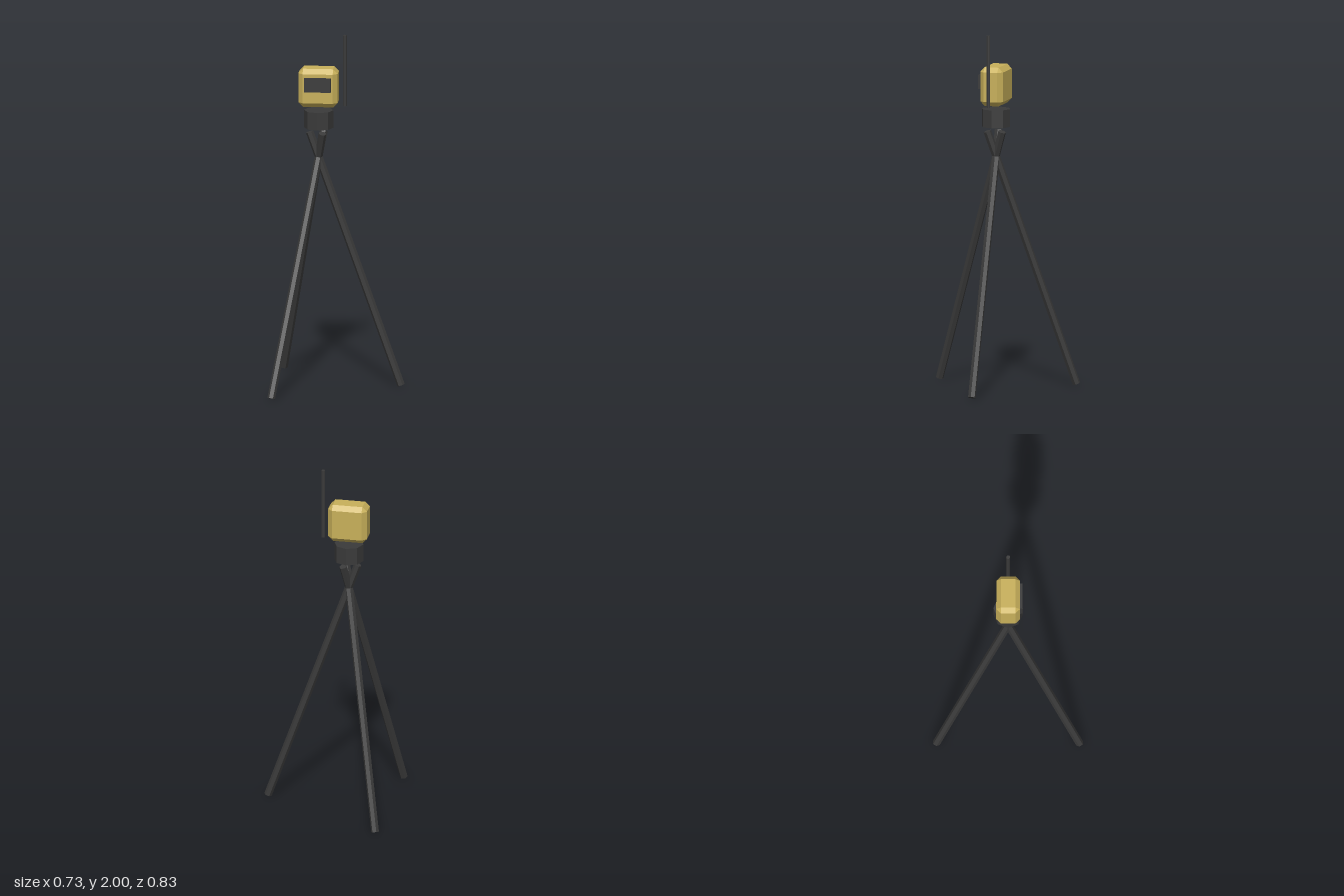
import * as THREE from 'three';
import { ConvexGeometry } from 'three/addons/geometries/ConvexGeometry.js';

const AXIS_X = -0.116; // tripod axis

// Box with flat chamfers on every edge and triangular corners
function chamferBox(w, h, d, c) {
  const points = [];
  for (const sx of [-1, 1]) for (const sy of [-1, 1]) for (const sz of [-1, 1]) {
    const x = w / 2, y = h / 2, z = d / 2;
    points.push(
      new THREE.Vector3(sx * x, sy * (y - c), sz * (z - c)),
      new THREE.Vector3(sx * (x - c), sy * y, sz * (z - c)),
      new THREE.Vector3(sx * (x - c), sy * (y - c), sz * z)
    );
  }
  return new ConvexGeometry(points);
}

export function createModel() {
  const group = new THREE.Group();
  const dark = new THREE.MeshStandardMaterial({ color: 0x3a3a3a, flatShading: true });
  dark.name = 'dark grey';
  const yellow = new THREE.MeshStandardMaterial({ color: 0xc8b05a, flatShading: true });
  yellow.name = 'sand yellow';

  const add = (name, geometry, material, x, y, z, parent = group) => {
    const mesh = new THREE.Mesh(geometry, material);
    mesh.name = name;
    mesh.position.set(x, y, z);
    parent.add(mesh);
    return mesh;
  };

  // Three hexagonal legs crossing just below the head
  const footR = 0.46, topR = -0.05, footY = 0.008, topY = 1.445;
  const run = footR - topR, rise = topY - footY;
  const legGeometry = new THREE.CylinderGeometry(0.022, 0.022, Math.hypot(run, rise), 6);
  legGeometry.rotateY(Math.PI / 2); // one ridge faces outward
  for (let i = 0; i < 3; i++) {
    const pivot = new THREE.Group();
    pivot.name = 'legPivot' + (i + 1);
    pivot.position.x = AXIS_X;
    pivot.rotation.y = (i * Math.PI * 2) / 3;
    const leg = add('leg' + (i + 1), legGeometry, dark, (footR + topR) / 2, (footY + topY) / 2, 0, pivot);
    leg.rotation.z = Math.atan2(run, rise);
    group.add(pivot);
  }

  // Tripod head
  add('tripodHead', new THREE.CylinderGeometry(0.082, 0.082, 0.1, 8), dark, AXIS_X, 1.52, 0);

  // Instrument housing with its display and antenna
  add('housing', chamferBox(0.22, 0.218, 0.132, 0.026), yellow, AXIS_X, 1.704, 0);
  add('display', new THREE.BoxGeometry(0.148, 0.08, 0.03), dark, AXIS_X, 1.727, 0.066);
  add('antenna', new THREE.CylinderGeometry(0.011, 0.011, 0.404, 8), dark, 0.03, 1.798, 0);

  return group;
}
